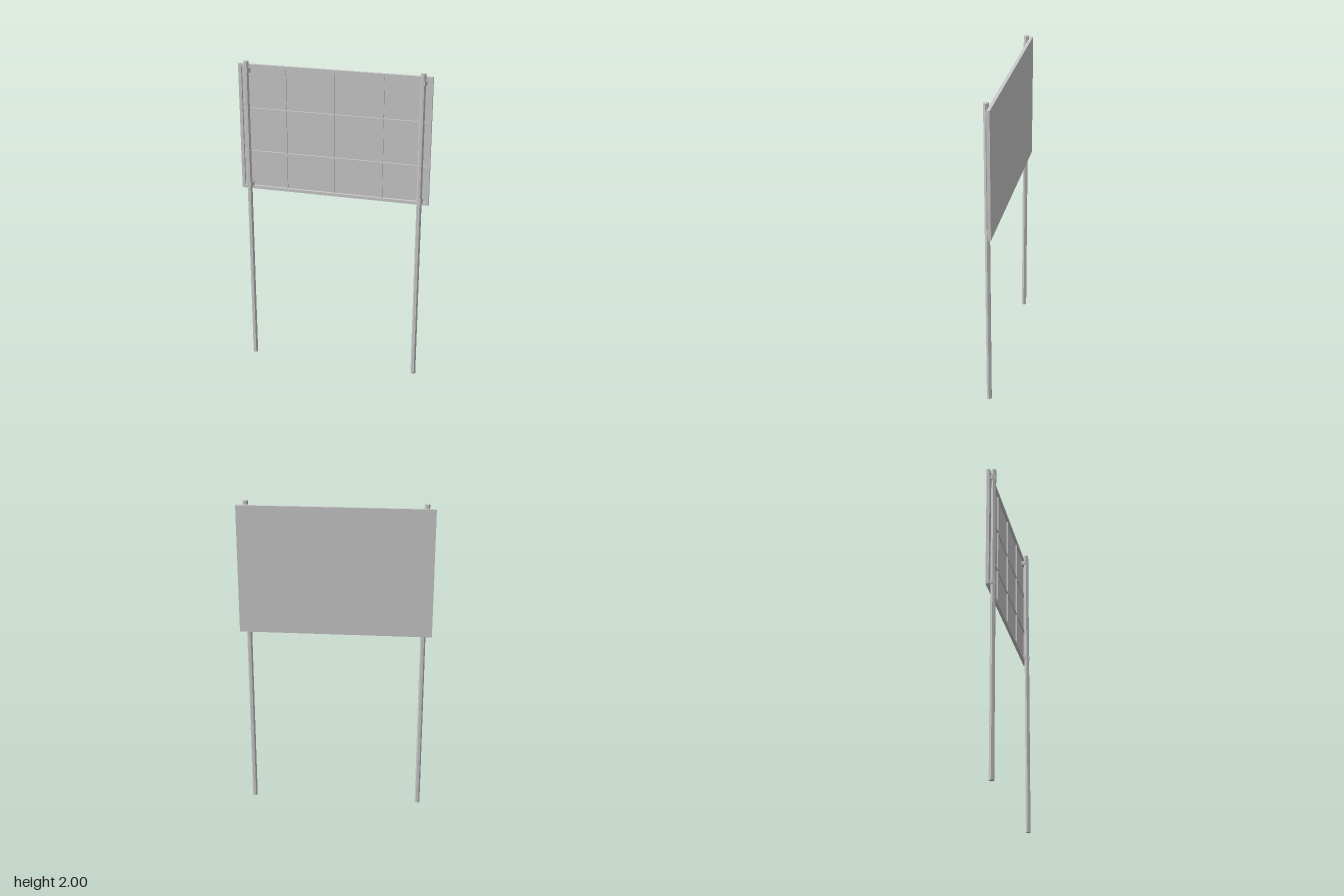
import * as THREE from 'three';

const material = new THREE.MeshStandardMaterial({ color: 0xcccccc, flatShading: true });

export function createModel() {
  const model = new THREE.Group();
  model.name = 'signboard';

  function add(name, geometry, x, y, z) {
    const mesh = new THREE.Mesh(geometry, material);
    mesh.name = name;
    mesh.position.set(x, y, z);
    model.add(mesh);
    return mesh;
  }
  const box = (name, w, h, d, x, y, z) => add(name, new THREE.BoxGeometry(w, h, d), x, y, z);

  // Panel extents
  const halfW = 0.592, bottom = 1.178, top = 1.977;
  const backZ = -0.0255, frontZ = -0.0065, sheet = 0.004, rim = 0.019;
  const midY = (top + bottom) / 2, height = top - bottom;

  // Thin sheet closing the back
  box('panelSheet', halfW * 2, height, sheet, 0, midY, backZ + sheet / 2);

  // Raised rim, open in the middle
  const frame = new THREE.Shape();
  const hole = new THREE.Path();
  const rect = (path, w, h) => path.moveTo(-w, -h).lineTo(w, -h).lineTo(w, h).lineTo(-w, h).closePath();
  rect(frame, halfW, height / 2);
  rect(hole, halfW - rim, height / 2 - rim);
  frame.holes.push(hole);
  const rimDepth = frontZ - backZ - sheet;
  add('panelFrame', new THREE.ExtrudeGeometry(frame, { depth: rimDepth, bevelEnabled: false }),
    0, midY, backZ + sheet);

  // Stiffening ribs
  const ribDepth = 0.009, ribZ = backZ + sheet + ribDepth / 2;
  for (const x of [-0.3, 0, 0.3]) {
    box('verticalRib', 0.009, height - rim * 2, ribDepth, x, midY, ribZ);
  }
  for (const y of [1.423, 1.698]) {
    box('horizontalRib', (halfW - rim) * 2, 0.009, ribDepth, 0, y, ribZ);
  }

  // Clamp outline seen from above, wrapping the post and reaching the sheet
  const clamp = new THREE.Shape([
    [-0.019, 0.022], [0.019, 0.022], [0.019, -0.002],
    [0.011, -0.0225], [-0.011, -0.0225], [-0.019, -0.002],
  ].map(([x, y]) => new THREE.Vector2(x, y)));
  const clampHeight = 0.03;
  const clampGeometry = new THREE.ExtrudeGeometry(clamp, { depth: clampHeight, bevelEnabled: false });
  clampGeometry.rotateX(-Math.PI / 2);

  // Hexagonal posts with two clamps each
  const postGeometry = new THREE.CylinderGeometry(0.016, 0.016, 2, 6);
  postGeometry.rotateY(Math.PI / 6);
  for (const side of [-1, 1]) {
    const x = side * 0.537;
    add(side > 0 ? 'leftPost' : 'rightPost', postGeometry, x, 1, 0.0075);
    for (const y of [1.209, 1.942]) add('postClamp', clampGeometry, x, y - clampHeight / 2, 0);
  }
  return model;
}
